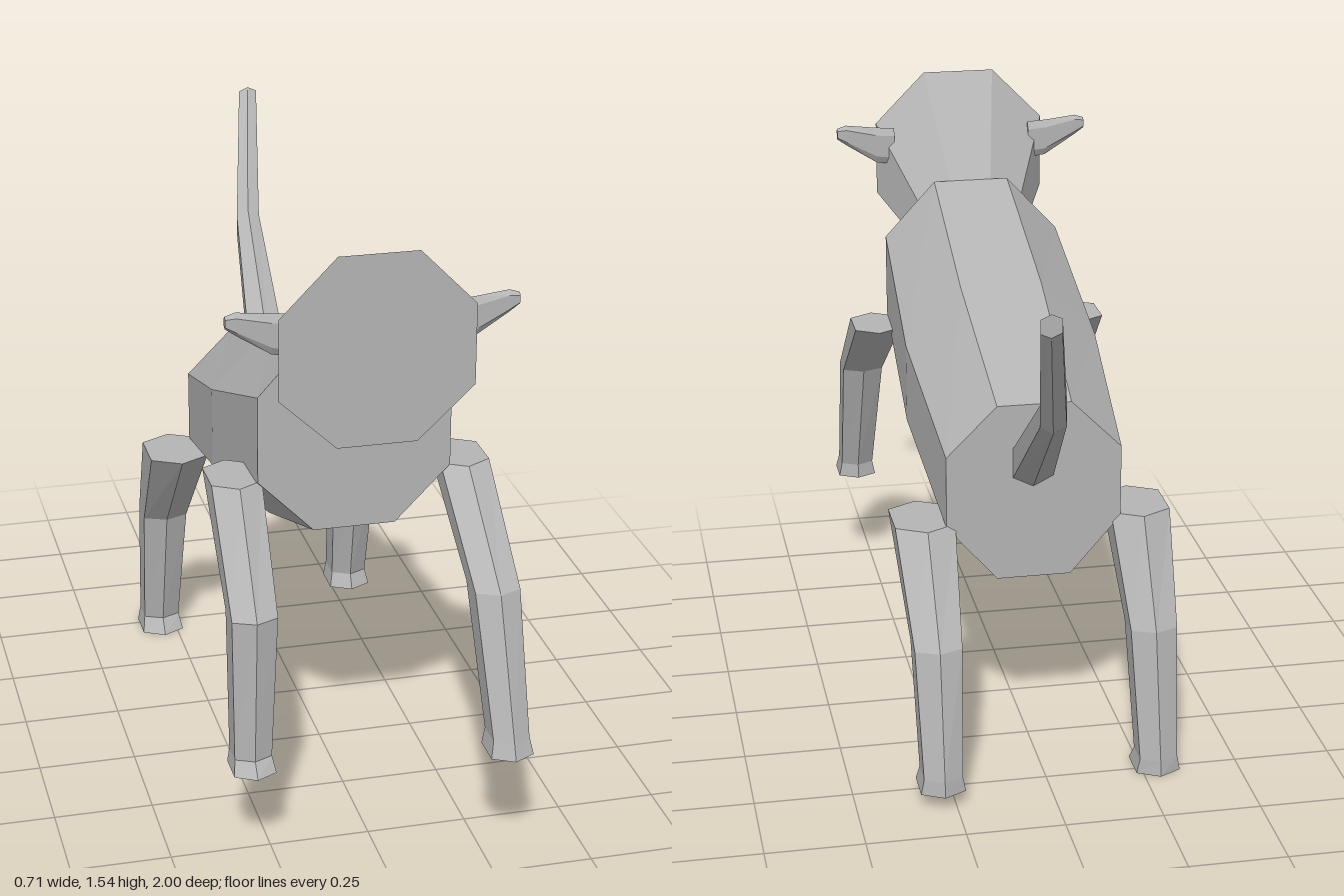
import * as THREE from 'three';

// Skin consecutive rings of points and close both ends; each ring runs
// counter-clockwise when seen from the far end of the loft.
function loft(rings) {
  const n = rings[0].length;
  const pos = rings.flat(2);
  const idx = [];
  for (let r = 0; r < rings.length - 1; r++) {
    for (let i = 0; i < n; i++) {
      const a = r * n + i, b = r * n + ((i + 1) % n);
      idx.push(a, b, b + n, a, b + n, a + n);
    }
  }
  const last = (rings.length - 1) * n;
  for (let i = 1; i < n - 1; i++) {
    idx.push(0, i + 1, i);
    idx.push(last, last + i, last + i + 1);
  }
  const indexed = new THREE.BufferGeometry();
  indexed.setAttribute('position', new THREE.Float32BufferAttribute(pos, 3));
  indexed.setIndex(idx);
  const g = indexed.toNonIndexed();
  g.computeVertexNormals();
  return g;
}

// Upright octagon across z, given by its edge heights and half-widths
function octagon(z, top, upper, lower, bottom, w, flat) {
  return [
    [w, lower, z], [w, upper, z], [flat, top, z], [-flat, top, z],
    [-w, upper, z], [-w, lower, z], [-flat, bottom, z], [flat, bottom, z],
  ];
}

// Six points of a pointed hexagon with half extents u (flat sides) and v (tips)
const hexagon = (u, v) => [[u, -v * 0.6], [u, v * 0.6], [0, v], [-u, v * 0.6], [-u, -v * 0.6], [0, -v]];

// Horizontal leg section from its height, z range, centre x and half width
const legRing = ([y, z0, z1, x, w]) =>
  hexagon(w, (z1 - z0) / 2).map(([u, v]) => [x + u, y, (z0 + z1) / 2 - v]);

export function createModel() {
  const model = new THREE.Group();
  const grey = new THREE.MeshStandardMaterial({ color: 0xb4b4b4 });
  grey.name = 'plain grey';
  grey.flatShading = true;

  const add = (name, rings) => {
    const mesh = new THREE.Mesh(loft(rings), grey);
    mesh.name = name;
    model.add(mesh);
  };

  // Body slopes down towards the rear
  add('body', [
    octagon(-0.33, 0.96, 0.83, 0.64, 0.49, 0.225, 0.095),
    octagon(0.13, 1.125, 0.97, 0.76, 0.61, 0.255, 0.108),
    octagon(0.59, 1.28, 1.13, 0.91, 0.77, 0.24, 0.102),
  ]);

  // Head flares forward to a flat face
  add('head', [
    octagon(0.59, 1.28, 1.2, 1.09, 1.01, 0.135, 0.056),
    octagon(0.79, 1.54, 1.4, 1.2, 1.07, 0.235, 0.097),
  ]);

  // Ears: thin tapering stubs on each side of the head
  const earSections = [[0.19, 1.345, 0.052, 0.011], [0.24, 1.35, 0.05, 0.011], [0.325, 1.382, 0.028, 0.011], [0.35, 1.387, 0.015, 0.008]];
  for (const side of [1, -1]) {
    const rings = earSections.map(([x, y, h, d]) =>
      hexagon(d, h).map(([u, v]) => [side * x, y + v, 0.745 - u]));
    if (side < 0) rings.reverse();
    add(side > 0 ? 'leftEar' : 'rightEar', rings);
  }

  // Legs, listed from sole to hip: height, z range, centre x, half width
  const legs = {
    leftFrontLeg: [
      [0.3, 0.862, 1.0, 0.297, 0.053], [0.34, 0.865, 0.983, 0.297, 0.045],
      [0.68, 0.74, 0.865, 0.29, 0.056], [0.905, 0.425, 0.605, 0.284, 0.062],
    ],
    rightFrontLeg: [
      [0.24, 0.7, 0.84, -0.3, 0.052], [0.275, 0.705, 0.81, -0.3, 0.046],
      [0.645, 0.692, 0.81, -0.293, 0.056], [0.905, 0.425, 0.605, -0.287, 0.062],
    ],
    leftHindLeg: [
      [0.04, -0.635, -0.485, 0.283, 0.057], [0.08, -0.63, -0.505, 0.283, 0.049],
      [0.4, -0.555, -0.435, 0.28, 0.06], [0.645, -0.36, -0.15, 0.277, 0.077],
    ],
    rightHindLeg: [
      [0.0, -0.555, -0.405, -0.29, 0.057], [0.04, -0.55, -0.435, -0.29, 0.049],
      [0.38, -0.495, -0.37, -0.285, 0.06], [0.645, -0.36, -0.15, -0.28, 0.077],
    ],
  };
  for (const [name, sections] of Object.entries(legs)) add(name, sections.map(legRing));

  // Tail sweeps up, back and slightly left: z, x, y, half width, half height
  const tail = [[-1.0, 0.095, 1.4, 0.025, 0.028], [-0.76, 0.04, 1.095, 0.032, 0.046], [-0.33, 0.002, 0.805, 0.052, 0.066]];
  add('tail', tail.map(([z, x, y, w, h]) => hexagon(w, h).map(([u, v]) => [x + u, y + v, z])));

  return model;
}
